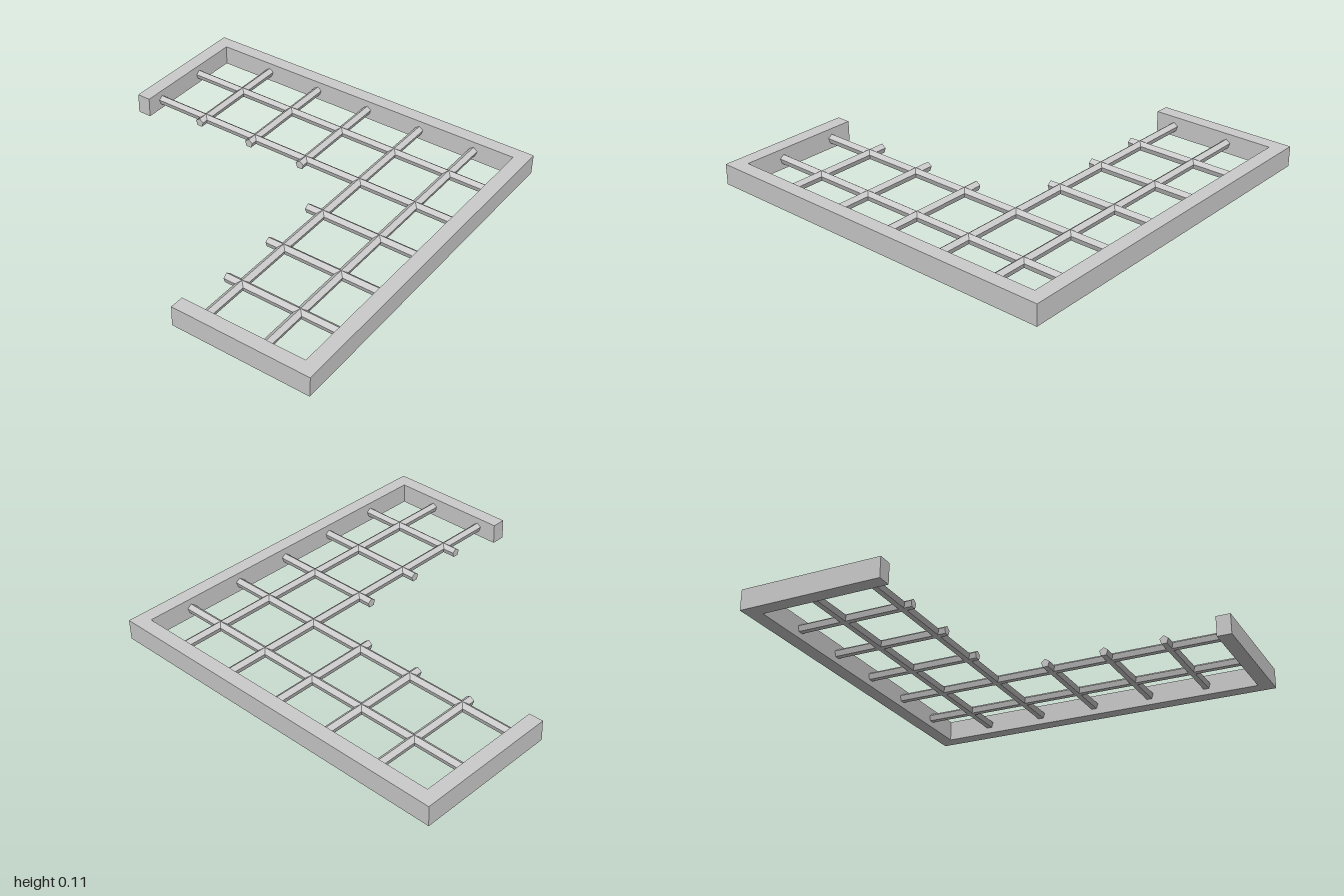
import * as THREE from 'three';

const HEIGHT = 0.11;
const WALL = 0.077;
const INNER = 1 - WALL;
const BAR_RADIUS = 0.025;
const BAR_Y = 0.053;

export function createModel() {
  const group = new THREE.Group();
  const material = new THREE.MeshStandardMaterial({ color: 0xcccccc, flatShading: true });

  const add = (name, geometry) => {
    const mesh = new THREE.Mesh(geometry, material);
    mesh.name = name;
    group.add(mesh);
  };

  // L-shaped outer frame, open on its inner corner; outline given as (x, z)
  const outline = [
    [-1, -1], [1, -1], [1, 1], [0.248, 1], [0.248, INNER], [INNER, INNER],
    [INNER, -INNER], [-INNER, -INNER], [-INNER, -0.235], [-1, -0.235],
  ].map(([x, z]) => new THREE.Vector2(x, z));
  const frame = new THREE.ExtrudeGeometry(new THREE.Shape(outline), { depth: HEIGHT, bevelEnabled: false });
  frame.rotateX(Math.PI / 2).translate(0, HEIGHT, 0);
  add('frame', frame);

  // Five-sided bars with the ridge on top
  const crossBar = (z, from) => {
    const bar = new THREE.CylinderGeometry(BAR_RADIUS, BAR_RADIUS, INNER - from, 5);
    bar.rotateZ(Math.PI / 2).rotateX(-Math.PI / 2).translate((from + INNER) / 2, BAR_Y, z);
    add('crossBar', bar);
  };
  const lengthBar = (x, to) => {
    const bar = new THREE.CylinderGeometry(BAR_RADIUS, BAR_RADIUS, to + INNER, 5);
    bar.rotateX(-Math.PI / 2).translate(x, BAR_Y, (to - INNER) / 2);
    add('lengthBar', bar);
  };

  // Full-length bars of both arms
  for (const z of [-0.67, -0.343]) crossBar(z, -INNER);
  for (const x of [0.369, 0.696]) lengthBar(x, INNER);

  // Short bars that end just past the inner edge
  for (const z of [-0.016, 0.312, 0.639]) crossBar(z, 0.28);
  for (const x of [-0.615, -0.286, 0.04]) lengthBar(x, -0.285);

  return group;
}
